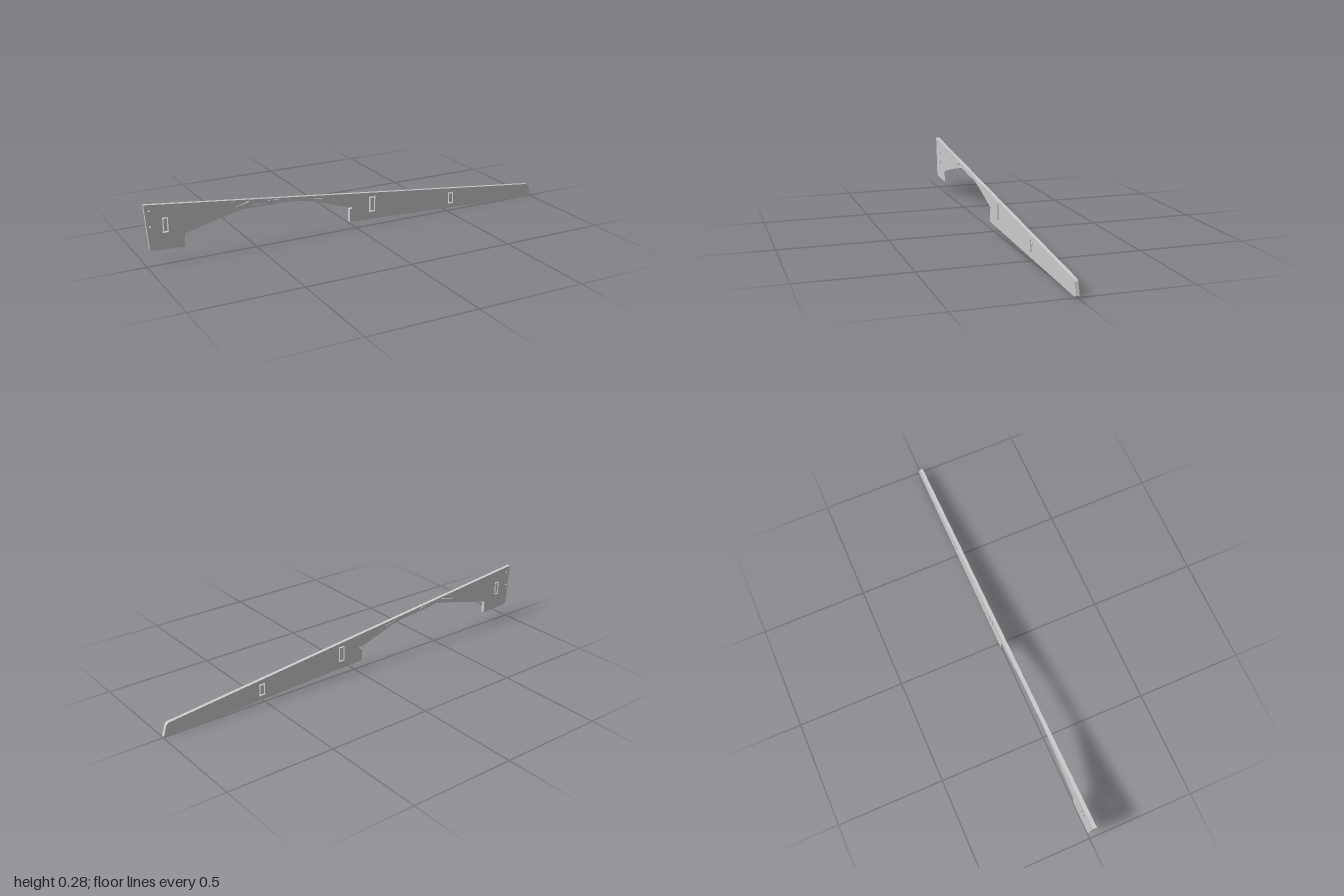
import * as THREE from 'three';

const DEPTH = 0.016;
const material = new THREE.MeshStandardMaterial({ color: 0xcccccc, flatShading: true });

// Closed shape or hole from a few corner points
const outline = (points, Type = THREE.Shape) => new Type(points.map(([x, y]) => new THREE.Vector2(x, y)));

// Slightly sloping upright rectangle, grown or shrunk by inset
function slot([x, y, w, h], inset) {
  const a = w / 2 - inset, b = h / 2 - inset;
  return [[x - a, y - b], [x + a, y - b], [x + a, y + b], [x - a, y + b]];
}

function plate(shape, name) {
  const geometry = new THREE.ExtrudeGeometry(shape, { depth: DEPTH, bevelEnabled: false, curveSegments: 6 });
  geometry.translate(0, 0, -DEPTH / 2);
  const mesh = new THREE.Mesh(geometry, material);
  mesh.name = name;
  return mesh;
}

export function createModel() {
  const group = new THREE.Group();
  group.name = 'flatRib';

  // Long tapering board with a shallow arch cut from its lower edge
  const board = outline([
    [-1, 0.279], [-0.985, 0.08], [-0.972, 0.072], [-0.83, 0.065], [-0.83, 0.124],
    [-0.66, 0.168], [-0.5, 0.205], [-0.4, 0.192], [-0.29, 0.183], [-0.21, 0.165],
    [-0.035, 0.108], [-0.026, 0.112], [-0.024, 0.104], [-0.038, 0.1], [-0.038, 0.038],
    [0.985, 0], [1, 0.007], [0.984, 0.058], [0.974, 0.066],
  ]);

  // Slots: centre x, centre y, width, height
  const slots = [[-0.912, 0.178, 0.026, 0.068], [0.08, 0.107, 0.032, 0.075], [0.515, 0.067, 0.029, 0.057]];
  for (const s of slots) board.holes.push(outline(slot(s, 0), THREE.Path));

  // Fine slits beside the narrow neck
  const slits = [
    [[-0.61, 0.201], [-0.53, 0.219], [-0.535, 0.2215]],
    [[-0.46, 0.212], [-0.39, 0.204], [-0.39, 0.2065]],
    [[-0.25, 0.188], [-0.18, 0.172], [-0.18, 0.175]],
  ];
  for (const s of slits) board.holes.push(outline(s, THREE.Path));

  // Pin holes at the deep end
  for (const y of [0.18, 0.25]) {
    board.holes.push(new THREE.Path().absarc(-0.979, y, 0.004, 0, Math.PI * 2));
  }
  group.add(plate(board, 'board'));

  // Loose insert left in each slot, with a narrow gap around it
  for (const s of slots) group.add(plate(outline(slot(s, 0.006)), 'slotInsert'));

  return group;
}
